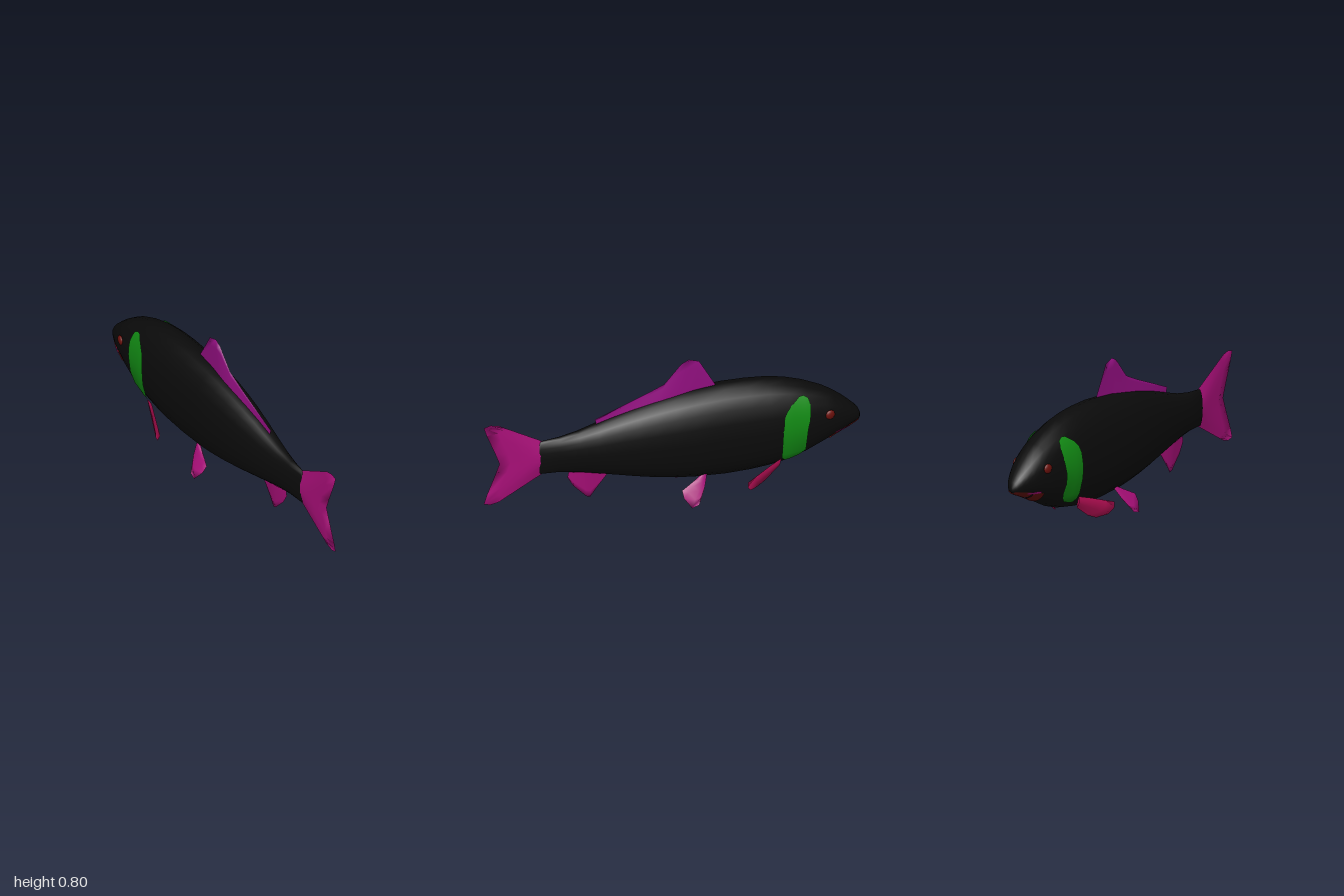
import * as THREE from 'three';

const V = (x, y, z) => new THREE.Vector3(x, y, z);
const mat = (name, color) => {
  const m = new THREE.MeshStandardMaterial({ color, side: THREE.DoubleSide });
  m.name = name;
  return m;
};

// Body cross-sections from nose to tail root: z, bottom, top, half width
const SECTIONS = [
  [-1.0, 0.31, 0.335, 0.008], [-0.99, 0.302, 0.36, 0.028], [-0.97, 0.293, 0.385, 0.044],
  [-0.94, 0.28, 0.414, 0.06], [-0.9, 0.263, 0.45, 0.078], [-0.85, 0.24, 0.488, 0.094],
  [-0.8, 0.213, 0.52, 0.106], [-0.7, 0.165, 0.567, 0.123], [-0.6, 0.132, 0.6, 0.133],
  [-0.5, 0.114, 0.619, 0.136], [-0.4, 0.105, 0.628, 0.137], [-0.27, 0.102, 0.631, 0.136],
  [-0.1, 0.112, 0.62, 0.132], [0, 0.125, 0.606, 0.126], [0.1, 0.142, 0.587, 0.116],
  [0.2, 0.164, 0.563, 0.104], [0.3, 0.188, 0.535, 0.088], [0.4, 0.212, 0.503, 0.072],
  [0.5, 0.235, 0.474, 0.054], [0.6, 0.25, 0.455, 0.038], [0.7, 0.252, 0.448, 0.022],
];
const POWER = 2.15;

function sectionAt(z) {
  let i = 1;
  while (i < SECTIONS.length - 1 && SECTIONS[i][0] < z) i++;
  const a = SECTIONS[i - 1], b = SECTIONS[i];
  const t = THREE.MathUtils.clamp((z - a[0]) / (b[0] - a[0]), 0, 1);
  const [bot, top, w] = [1, 2, 3].map((k) => a[k] + (b[k] - a[k]) * t);
  return { c: (bot + top) / 2, h: (top - bot) / 2, w };
}
const bend = (v) => Math.sign(v) * Math.abs(v) ** (2 / POWER);

// Point on the body at an angle measured from the belly
function around(z, a, off = 0) {
  const s = sectionAt(z);
  return V((s.w + off) * bend(Math.sin(a)), s.c - (s.h + off) * bend(Math.cos(a)), z);
}
// Point on the flank at a given height
function flank(z, y, off) {
  const s = sectionAt(z);
  const d = Math.min(1, Math.abs(y - s.c) / (s.h + off));
  return V((s.w + off) * (1 - d ** POWER) ** (1 / POWER), y, z);
}

// Smooth surface over rows of points
function surface(rows) {
  const n = rows[0].length, index = [];
  for (let i = 0; i < rows.length - 1; i++)
    for (let j = 0; j < n - 1; j++) {
      const a = i * n + j, b = a + n;
      index.push(a, a + 1, b, a + 1, b + 1, b);
    }
  const g = new THREE.BufferGeometry().setFromPoints(rows.flat());
  g.setIndex(index);
  g.computeVertexNormals();
  return g;
}

// Fin between matching root and tip points, thick at the root and sharp at the rim
function fin(root, tip, thick, normal) {
  const steps = 4, n = root.length;
  const rows = root.map((r, i) => {
    const edge = Math.min(1, 2.5 * Math.min(i, n - 1 - i) / (n - 1));
    const row = [];
    for (let k = -steps; k <= steps; k++) {
      const t = 1 - Math.abs(k) / steps;
      const w = thick * (1 - t) * edge * Math.sign(k);
      row.push(r.clone().lerp(tip[i], t).addScaledVector(normal, w));
    }
    return row;
  });
  return surface(rows);
}
// Points in the middle plane from [z, y] pairs
const plane = (pairs) => pairs.map(([z, y]) => V(0, y, z));
const line = (a, b, n) => Array.from({ length: n }, (_, i) => a.clone().lerp(b, i / (n - 1)));

export function createModel() {
  const model = new THREE.Group();
  const black = mat('body black', 0x0b0b0b);
  const green = mat('gill green', 0x128a14);
  const magenta = mat('tail magenta', 0xa80f78);
  const purple = mat('dorsal purple', 0x920f80);
  const crimson = mat('pectoral crimson', 0xbe1058);
  const red = mat('dark red', 0x6c110c);
  const add = (name, geometry, material) => {
    const m = new THREE.Mesh(geometry, material);
    m.name = name;
    model.add(m);
    return m;
  };
  const X = V(1, 0, 0);

  // Body, closed at both ends
  const rows = SECTIONS.map(([z]) =>
    Array.from({ length: 21 }, (_, i) => around(z, (i / 20) * Math.PI * 2)));
  rows.unshift(rows[0].map(() => V(0, 0.322, -1)));
  rows.push(rows[0].map(() => V(0, 0.35, 0.74)));
  add('body', surface(rows), black);

  // Tail, dorsal and anal fins
  add('tailFin', fin(line(V(0, 0.449, 0.69), V(0, 0.251, 0.69), 11), plane([
    [0.92, 0.58], [0.965, 0.59], [1, 0.58], [0.985, 0.53], [0.94, 0.415], [0.917, 0.35],
    [0.94, 0.285], [0.985, 0.17], [1, 0.12], [0.965, 0.11], [0.92, 0.12]]), 0.021, X), magenta);
  add('dorsalFin', fin(plane([
    [0.4, 0.495], [0.3, 0.525], [0.18, 0.56], [0.08, 0.58], [0, 0.595], [-0.06, 0.605],
    [-0.12, 0.61], [-0.23, 0.62]]), plane([
    [0.41, 0.53], [0.27, 0.585], [0.13, 0.64], [0.04, 0.68], [-0.05, 0.785], [-0.09, 0.806],
    [-0.145, 0.788], [-0.23, 0.635]]), 0.014, X), purple);
  add('analFin', fin(line(V(0, 0.235, 0.55), V(0, 0.215, 0.34), 6), plane([
    [0.555, 0.205], [0.525, 0.15], [0.455, 0.075], [0.435, 0.067], [0.405, 0.11],
    [0.34, 0.195]]), 0.014, X), magenta);

  // Lower jaw in two plates under the head
  for (const [z0, z1] of [[-0.996, -0.9], [-0.893, -0.825]]) {
    const jaw = [];
    for (let i = 0; i <= 8; i++) {
      const z = z0 + (z1 - z0) * i / 8;
      jaw.push(Array.from({ length: 13 }, (_, j) => around(z, (j / 6 - 1) * 0.92, 0.005)));
    }
    add('lowerJaw', surface(jaw), red);
  }

  // Gill cover rows: height, rear z, front z
  const GILL = [
    [0.172, -0.575, -0.6], [0.19, -0.558, -0.655], [0.22, -0.553, -0.685], [0.3, -0.553, -0.685],
    [0.36, -0.553, -0.69], [0.4, -0.558, -0.7], [0.44, -0.562, -0.706], [0.475, -0.575, -0.71],
    [0.505, -0.6, -0.706], [0.525, -0.63, -0.7], [0.54, -0.652, -0.675]];

  for (const s of [1, -1]) {
    const side = s > 0 ? 'left' : 'right';
    const flip = (p) => V(p.x * s, p.y, p.z);
    const patch = (table, off) => surface(table.map(([y, a, b]) =>
      Array.from({ length: 9 }, (_, j) => flip(flank(a + (b - a) * j / 8, y, off)))));
    add(side + 'GillCover', patch(GILL, 0.007), green);
    add(side + 'MouthCorner',
      patch([[0.283, -0.85, -0.89], [0.29, -0.845, -0.93], [0.297, -0.87, -0.935]], 0.007), magenta);

    // Eye
    const eye = add(side + 'Eye', new THREE.SphereGeometry(0.026, 16, 12), red);
    eye.position.copy(flip(flank(-0.815, 0.407, 0)));
    eye.scale.x = 0.45;
    eye.rotation.y = s * 0.2;

    // Pectoral fin sweeping back and out
    const pRoot = line(V(0.112, 0.197, -0.55), V(0.088, 0.13, -0.535), 7).map(flip);
    const pTip = [[0.14, 0.177, -0.48], [0.195, 0.135, -0.35], [0.195, 0.105, -0.35],
      [0.17, 0.07, -0.37], [0.125, 0.054, -0.415], [0.107, 0.075, -0.465], [0.09, 0.125, -0.53]]
      .map((p) => flip(V(...p)));
    add(side + 'PectoralFin', fin(pRoot, pTip, 0.008, V(0.8 * s, -0.45, -0.4)), crimson);

    // Pelvic fin slanting down and out
    const slant = (z, y) => V(s * (0.066 + (0.14 - y) * 0.63), y, z);
    const vRoot = line(slant(-0.17, 0.145), slant(-0.13, 0.138), 6);
    const vTip = [[-0.145, 0.08], [-0.105, 0.012], [-0.065, 0.003], [-0.03, 0.05],
      [-0.026, 0.085], [-0.1, 0.12]].map(([z, y]) => slant(z, y));
    add(side + 'PelvicFin', fin(vRoot, vTip, 0.01, V(0.85 * s, 0.53, 0)), magenta);
  }
  return model;
}
